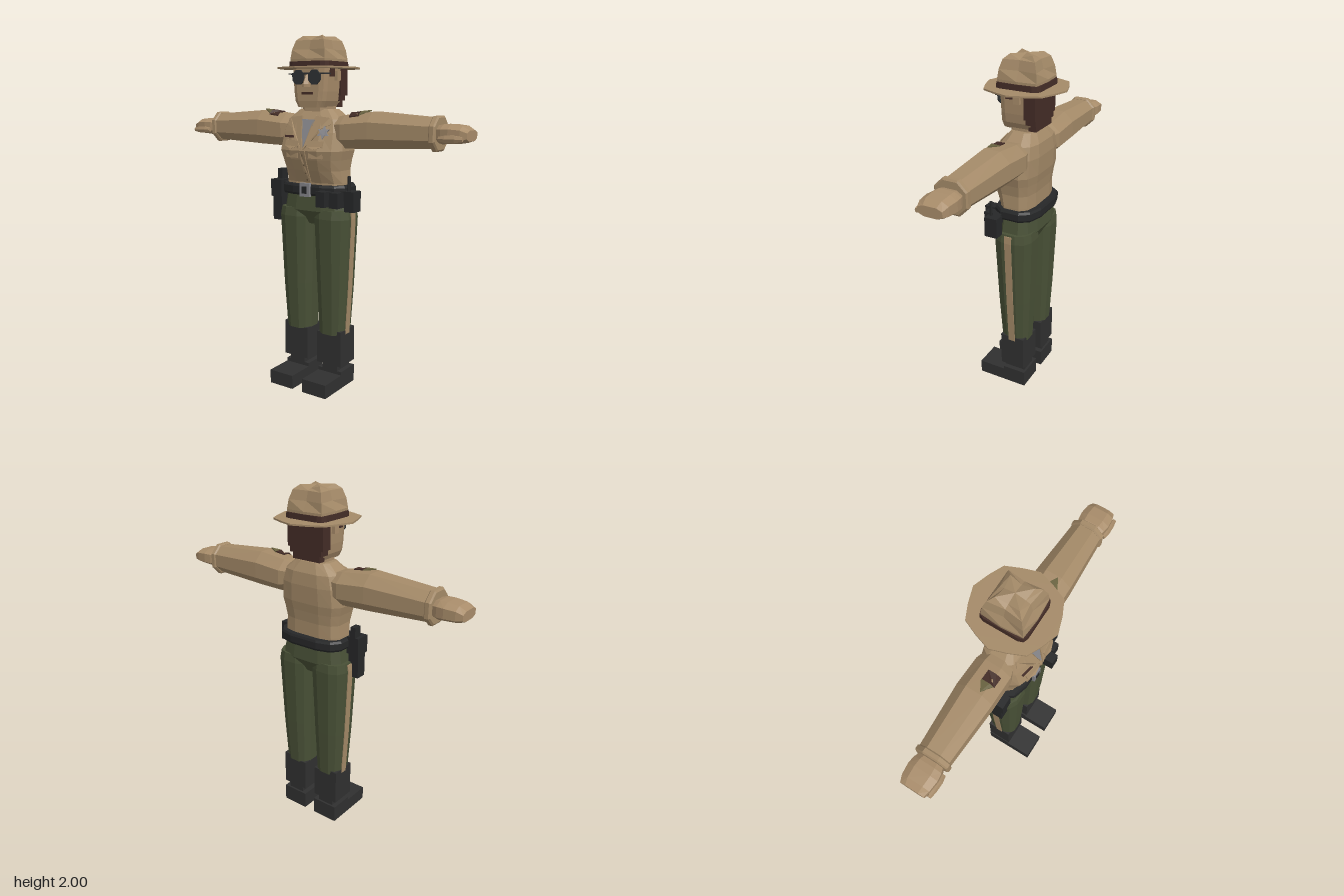
import * as THREE from 'three';

const mat = (name, color) => Object.assign(new THREE.MeshStandardMaterial({ color }), { name });
const M = {
  shirt: mat('tanCloth', 0xa48a68), skin: mat('skin', 0xa88c6a), green: mat('greenCloth', 0x485036),
  boot: mat('bootBlack', 0x303030), belt: mat('beltBlack', 0x262728), brown: mat('darkBrown', 0x432c26),
  grey: mat('grey', 0x85858a), olive: mat('olive', 0x69623f), lens: mat('lensDark', 0x2f3234), seam: mat('seamBrown', 0x7c674c),
};

// Flat normals: every face owns its corners
const flat = (g) => {
  const f = g.index ? g.toNonIndexed() : g;
  f.computeVertexNormals();
  return f;
};

// Closed solid through rounded sections stacked in y; row = [y, rx, zFront, zBack, cx]
function loft(rows, n = 12, pow = 0.7, shift = 0.5) {
  const bend = (v) => (Math.abs(v) < 1e-6 ? 0 : Math.sign(v) * Math.abs(v) ** pow);
  const pos = [], idx = [], top = (rows.length - 1) * n, c0 = rows.length * n;
  for (const [y, rx, zf, zb = zf, cx = 0] of rows)
    for (let j = 0; j < n; j++) {
      const a = ((j + shift) / n) * Math.PI * 2, s = Math.sin(a);
      pos.push(cx + rx * bend(Math.cos(a)), y, bend(s) * (s > 0 ? zf : zb));
    }
  for (const r of [rows[0], rows.at(-1)]) pos.push(r[4] ?? 0, r[0], 0);
  for (let j = 0; j < n; j++) {
    const k = (j + 1) % n;
    for (let i = 0; i < top; i += n) idx.push(i + j, i + n + j, i + n + k, i + j, i + n + k, i + k);
    idx.push(c0, j, k, c0 + 1, top + k, top + j);
  }
  const g = new THREE.BufferGeometry();
  g.setAttribute('position', new THREE.Float32BufferAttribute(pos, 3));
  g.setIndex(idx);
  return flat(g);
}

// Box from its extents
const box = (x0, x1, y0, y1, z0, z1) =>
  flat(new THREE.BoxGeometry(x1 - x0, y1 - y0, z1 - z0).translate((x0 + x1) / 2, (y0 + y1) / 2, (z0 + z1) / 2));

// Same part on the other side, with the corner order turned round
function mirrored(g) {
  const m = g.clone().scale(-1, 1, 1), p = m.attributes.position;
  for (let i = 0; i < p.count; i += 3) {
    const b = [p.getX(i + 1), p.getY(i + 1), p.getZ(i + 1)];
    p.setXYZ(i + 1, p.getX(i + 2), p.getY(i + 2), p.getZ(i + 2));
    p.setXYZ(i + 2, ...b);
  }
  m.computeVertexNormals();
  return m;
}

// Thin plate laid on a mesh from the front, or from above
function drape(target, pts, lift = 0.004, above = false) {
  const shape = new THREE.Shape(pts.map((p) => new THREE.Vector2(...p)));
  const g = new THREE.ExtrudeGeometry(shape, { depth: 0.006, bevelEnabled: false });
  const p = g.attributes.position, ray = new THREE.Raycaster();
  for (let i = 0; i < p.count; i++) {
    const u = p.getX(i), v = p.getY(i), w = p.getZ(i) + lift;
    if (above) ray.set(new THREE.Vector3(u, 5, -v), new THREE.Vector3(0, -1, 0));
    else ray.set(new THREE.Vector3(u, v, 5), new THREE.Vector3(0, 0, -1));
    const hit = ray.intersectObject(target)[0]?.point;
    if (above) p.setXYZ(i, u, (hit ? hit.y : 1.57) + w, -v);
    else p.setZ(i, (hit ? hit.z : 0.08) + w);
  }
  return flat(g);
}

const rect = (x0, x1, y0, y1) => [[x0, y0], [x1, y0], [x1, y1], [x0, y1]];

export function createModel() {
  const root = new THREE.Group();
  root.name = 'officer';
  const add = (name, g, m) => {
    const mesh = new THREE.Mesh(g, m);
    mesh.name = name;
    root.add(mesh);
    return mesh;
  };
  const pair = (name, g, m) => {
    add(name + 'Right', mirrored(g), m);
    return add(name + 'Left', g, m);
  };

  // Shirt body
  const torso = add('torso', loft([
    [1.13, 0.19, 0.1], [1.2, 0.19, 0.1], [1.27, 0.185, 0.13, 0.1], [1.33, 0.195, 0.152, 0.108],
    [1.38, 0.208, 0.165, 0.117], [1.48, 0.2, 0.13, 0.122], [1.55, 0.178, 0.1, 0.115], [1.605, 0.11, 0.06, 0.085],
  ], 12, 0.6), M.shirt);

  // Shirt front: undershirt, lapels, pockets, buttons
  add('undershirt', drape(torso, [[0, 1.4], [0.045, 1.55], [-0.045, 1.55]], 0.001), M.grey);
  pair('lapel', drape(torso, [[0.004, 1.385], [0.08, 1.47], [0.085, 1.495], [0.145, 1.525], [0.13, 1.56], [0.045, 1.57], [0.03, 1.51]], 0.006), M.shirt);
  pair('pocket', drape(torso, rect(0.035, 0.12, 1.34, 1.43)), M.shirt);
  pair('pocketFlap', drape(torso, [[0.03, 1.405], [0.078, 1.39], [0.125, 1.405], [0.125, 1.436], [0.03, 1.436]], 0.009), M.shirt);
  add('nameTag', drape(torso, rect(-0.14, -0.07, 1.45, 1.462), 0.008), M.brown);
  add('placket', drape(torso, [[-0.016, 1.2], [0.016, 1.2], [0.016, 1.27], [0.016, 1.33], [0.016, 1.38], [-0.016, 1.38], [-0.016, 1.33], [-0.016, 1.27]], 0.001), M.shirt);
  for (const y of [1.215, 1.255, 1.3, 1.355])
    add('button', drape(torso, rect(-0.005, 0.005, y - 0.005, y + 0.005), 0.007), M.seam);
  const star = Array.from({ length: 12 }, (_, i) => {
    const a = (i / 12) * Math.PI * 2 + Math.PI / 2, r = i % 2 ? 0.018 : 0.036;
    return [0.118 + r * Math.cos(a), 1.482 + r * Math.sin(a)];
  });
  add('badge', drape(torso, star, 0.012), M.grey);

  // Arms, lofted along y and laid out to the side
  const limb = (rows, n, pow) =>
    loft(rows.map(([x, cy, ry, rz]) => [x, ry, rz, rz, -cy]), n, pow).rotateZ(-Math.PI / 2);
  const sleeve = pair('sleeve', limb([
    [0.13, 1.49, 0.075, 0.085], [0.2, 1.485, 0.097, 0.108], [0.37, 1.497, 0.105, 0.11], [0.72, 1.492, 0.083, 0.09],
  ], 8, 0.9), M.shirt);
  pair('cuff', limb([
    [0.71, 1.49, 0.088, 0.09], [0.717, 1.49, 0.096, 0.098], [0.738, 1.49, 0.096, 0.098], [0.745, 1.49, 0.086, 0.09],
  ], 8, 0.9), M.shirt);
  pair('hand', limb([
    [0.74, 1.49, 0.045, 0.07], [0.77, 1.49, 0.052, 0.082], [0.81, 1.492, 0.05, 0.088], [0.87, 1.49, 0.045, 0.082], [0.905, 1.485, 0.028, 0.07],
  ], 8, 0.7), M.skin);
  pair('thumb', limb([[0.765, 1.47, 0.012, 0.01], [0.8, 1.47, 0.02, 0.017], [0.85, 1.47, 0.02, 0.016], [0.89, 1.47, 0.012, 0.01]], 6, 0.8)
    .translate(0, 0, 0.083), M.skin);

  // Shoulder patches
  pair('patch', drape(sleeve, [[0.24, -0.07], [0.3, -0.07], [0.3, -0.045], [0.3, 0], [0.24, 0], [0.24, -0.045]], 0.005, true), M.brown);
  pair('patchPoint', drape(sleeve, [[0.3, -0.065], [0.36, -0.03], [0.3, 0.005], [0.3, -0.045]], 0.005, true), M.olive);

  // Neck, head and hair
  add('neck', loft([[1.56, 0.085, 0.07, 0.075], [1.65, 0.085, 0.07, 0.075]], 8, 0.5), M.skin);
  add('head', loft([
    [1.615, 0.08, 0.108, 0.09], [1.65, 0.098, 0.113, 0.095], [1.7, 0.106, 0.113, 0.098], [1.83, 0.116, 0.113, 0.1],
  ], 12, 0.3), M.skin);
  add('hair', box(-0.118, 0.118, 1.68, 1.83, -0.108, -0.042), M.brown);
  add('hairLower', box(-0.105, 0.105, 1.65, 1.68, -0.105, -0.046), M.brown);
  add('hairNape', box(-0.09, 0.09, 1.615, 1.65, -0.1, -0.055), M.brown);
  pair('sideburn', box(0.108, 0.119, 1.78, 1.825, 0.02, 0.065), M.brown);
  pair('ear', box(0.105, 0.13, 1.76, 1.81, -0.022, 0.014), M.skin);

  // Face: nose, mouth and sunglasses
  add('nose', loft([[1.725, 0.022, 0.04, 0], [1.74, 0.022, 0.042, 0], [1.79, 0.01, 0.016, 0]], 6, 0.8).translate(0, 0, 0.108), M.skin);
  add('mouth', box(-0.036, 0.036, 1.683, 1.697, 0.108, 0.119), M.brown);
  pair('lens', flat(new THREE.CylinderGeometry(0.042, 0.042, 0.009, 8).rotateY(Math.PI / 8).rotateX(Math.PI / 2)
    .translate(0.053, 1.776, 0.123)), M.lens);
  add('glassesBridge', box(-0.02, 0.02, 1.792, 1.8, 0.118, 0.128), M.lens);
  pair('glassesArm', box(0.092, 0.12, 1.792, 1.799, 0.06, 0.124), M.lens);

  // Hat: pointed brim, band and pinched crown
  const half = [[0, 0.23], [0.09, 0.2], [0.165, 0.165], [0.2, 0.085], [0.228, 0], [0.2, -0.085], [0.165, -0.165], [0.09, -0.2], [0, -0.23]];
  const outline = [...half, ...half.slice(1, -1).reverse().map(([x, z]) => [-x, z])];
  add('hatBrim', flat(new THREE.ExtrudeGeometry(new THREE.Shape(outline.map((p) => new THREE.Vector2(...p))), { depth: 0.009, bevelEnabled: false })
    .rotateX(-Math.PI / 2).translate(0, 1.823, 0)), M.shirt);
  add('hatBand', loft([[1.83, 0.129, 0.129], [1.862, 0.127, 0.127]], 12, 0.25), M.brown);
  const crown = loft([
    [1.83, 0.122, 0.122], [1.875, 0.122, 0.122], [1.925, 0.115, 0.115], [1.975, 0.098, 0.098], [2, 0.068, 0.068],
  ], 8, 0.2, 0);
  const cp = crown.attributes.position;
  for (let i = 0; i < cp.count; i++) {
    const x = cp.getX(i), y = cp.getY(i), z = cp.getZ(i);
    const middle = Math.abs(x) < 0.01 || Math.abs(z) < 0.01;
    if (y > 1.9 && middle) cp.setXYZ(i, x * 0.82, y - (y > 1.99 && x * x + z * z > 0.001 ? 0.015 : 0), z * 0.82);
  }
  add('hatCrown', flat(crown), M.shirt);

  // Trousers with side stripes
  add('hips', loft([[0.96, 0.04, 0.07], [1.04, 0.208, 0.116], [1.14, 0.192, 0.105]], 12, 0.65), M.green);
  const legRows = [[0.32, 0.082, 0.09, 0.084, 0.115], [0.6, 0.097, 0.105, 0.1, 0.118], [1, 0.114, 0.12, 0.116, 0.119], [1.05, 0.108, 0.112, 0.11, 0.117]];
  pair('trouserLeg', loft(legRows, 12, 0.75), M.green);
  pair('stripe', loft(legRows.slice(0, 3).concat([[1.04, 0.111, 0, 0, 0.118]])
    .map(([y, rx, , , cx]) => [y, 0.012, 0.021, 0.021, cx + rx * 0.974 - 0.008]), 4, 0.01), M.shirt);

  // Boots
  pair('bootShaft', box(0.035, 0.198, 0.135, 0.325, -0.077, 0.073), M.boot);
  pair('bootTop', box(0.12, 0.198, 0.32, 0.345, -0.077, 0.073), M.boot);
  pair('bootAnkle', box(0.065, 0.167, 0.09, 0.14, -0.07, 0.06), M.boot);
  pair('bootHeel', box(0.035, 0.195, 0, 0.1, -0.082, 0.06), M.boot);
  pair('bootToe', box(0.035, 0.195, 0, 0.08, 0.05, 0.225), M.boot);

  // Belt and buckle
  add('belt', loft([[1.13, 0.208, 0.128, 0.132], [1.142, 0.216, 0.134, 0.138], [1.178, 0.216, 0.134, 0.138], [1.19, 0.208, 0.128, 0.132]], 12, 0.65), M.belt);
  add('buckle', box(-0.032, 0.032, 1.124, 1.2, 0.125, 0.146), M.grey);
  add('buckleHole', box(-0.016, 0.016, 1.142, 1.182, 0.14, 0.15), M.belt);

  // Belt gear: pouches and radio on the left, holster on the right
  add('frontPouch', box(0.1, 0.158, 1.08, 1.165, 0.11, 0.182), M.belt);
  add('sidePouch', box(0.166, 0.222, 1.075, 1.16, 0.06, 0.15), M.belt);
  add('radio', box(0.236, 0.296, 1.055, 1.168, 0.03, 0.105), M.belt);
  add('radioClip', box(0.2, 0.24, 1.11, 1.165, 0.045, 0.09), M.belt);
  add('antenna', flat(new THREE.CylinderGeometry(0.009, 0.01, 0.1, 6).translate(0.255, 1.2, 0.085)), M.belt);
  add('holster', box(-0.272, -0.208, 0.96, 1.12, 0.015, 0.08), M.belt);
  add('holsterTop', box(-0.276, -0.2, 1.1, 1.2, 0.005, 0.095), M.belt);
  add('pistolGrip', box(-0.255, -0.222, 1.19, 1.26, 0.005, 0.055), M.belt);
  return root;
}
